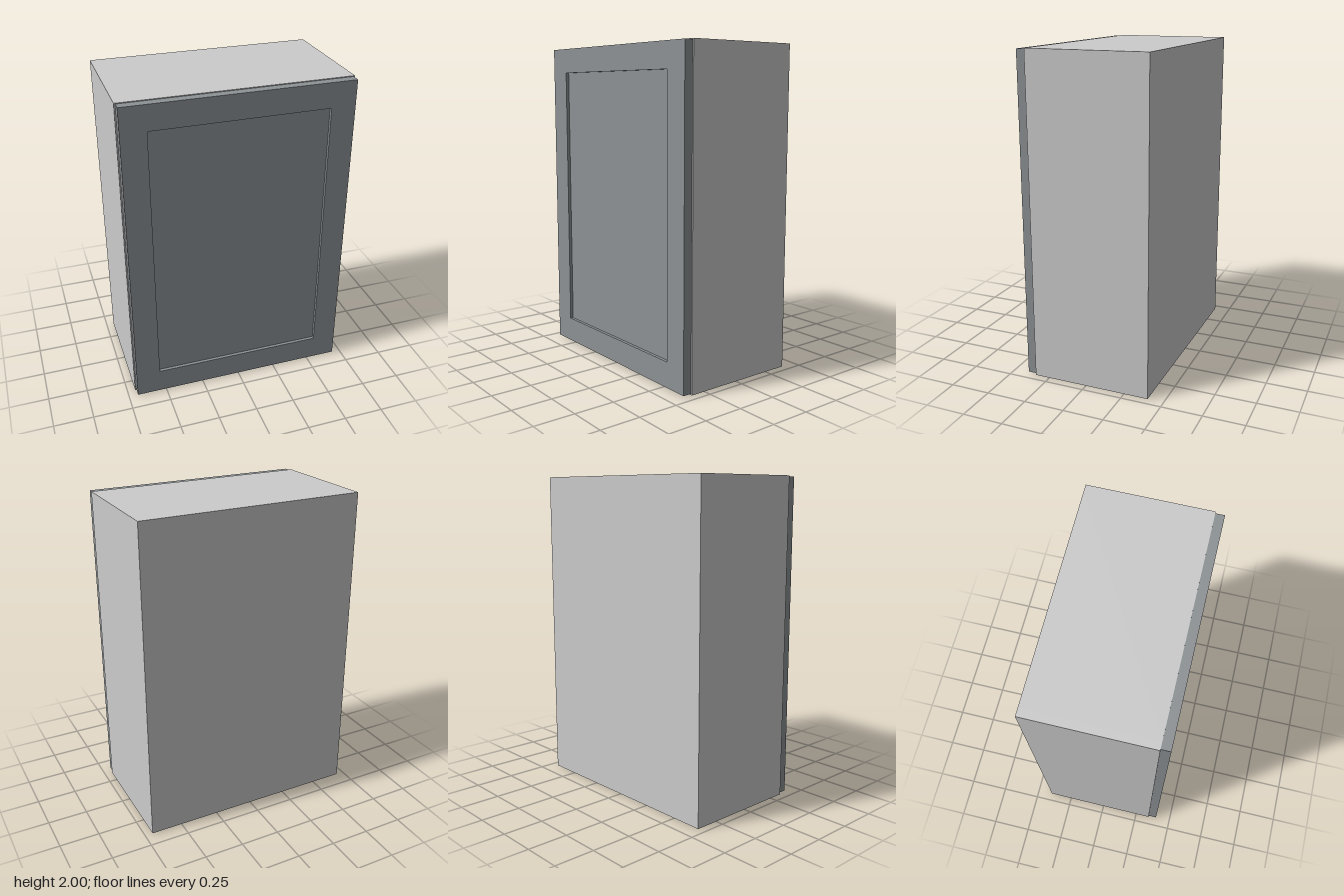
import * as THREE from 'three';

const carcassMat = new THREE.MeshStandardMaterial({ color: 0xcccccc });
const doorMat = new THREE.MeshStandardMaterial({ color: 0x8d9295 });

// Box given by its minimum and maximum corners
function panel(name, min, max, mat) {
  const size = max.map((v, i) => v - min[i]);
  const mesh = new THREE.Mesh(new THREE.BoxGeometry(...size), mat);
  mesh.position.set(...max.map((v, i) => (v + min[i]) / 2));
  mesh.name = name;
  return mesh;
}

export function createModel() {
  const cabinet = new THREE.Group();
  cabinet.name = 'wallCabinet';
  const W = 0.7, H = 2, T = 0.05, back = -0.4, front = 0.345;
  const inner = W - T;

  // Carcass: sides, top, bottom and back
  const carcass = new THREE.Group();
  carcass.name = 'carcass';
  carcass.add(
    panel('leftSide', [inner, 0, back], [W, H, front], carcassMat),
    panel('rightSide', [-W, 0, back], [-inner, H, front], carcassMat),
    panel('topPanel', [-inner, H - T, back], [inner, H, front], carcassMat),
    panel('bottomPanel', [-inner, 0, back], [inner, T, front], carcassMat),
    panel('backPanel', [-inner, T, back], [inner, H - T, back + 0.03], carcassMat)
  );

  // Door: a frame with a rectangular opening around a recessed panel
  const door = new THREE.Group();
  door.name = 'door';
  const doorFront = 0.4, recess = 0.02;
  const x = 0.692, y0 = 0.008, y1 = 1.995;
  const px = 0.54, py0 = 0.165, py1 = 1.84;
  const outline = new THREE.Shape([[-x, y0], [x, y0], [x, y1], [-x, y1]].map(p => new THREE.Vector2(...p)));
  outline.holes.push(new THREE.Path([[-px, py0], [-px, py1], [px, py1], [px, py0]].map(p => new THREE.Vector2(...p))));
  const frame = new THREE.Mesh(
    new THREE.ExtrudeGeometry(outline, { depth: doorFront - front, bevelEnabled: false }), doorMat);
  frame.position.z = front;
  frame.name = 'doorFrame';
  door.add(frame, panel('doorPanel', [-px, py0, front], [px, py1, doorFront - recess], doorMat));

  cabinet.add(carcass, door);
  return cabinet;
}
